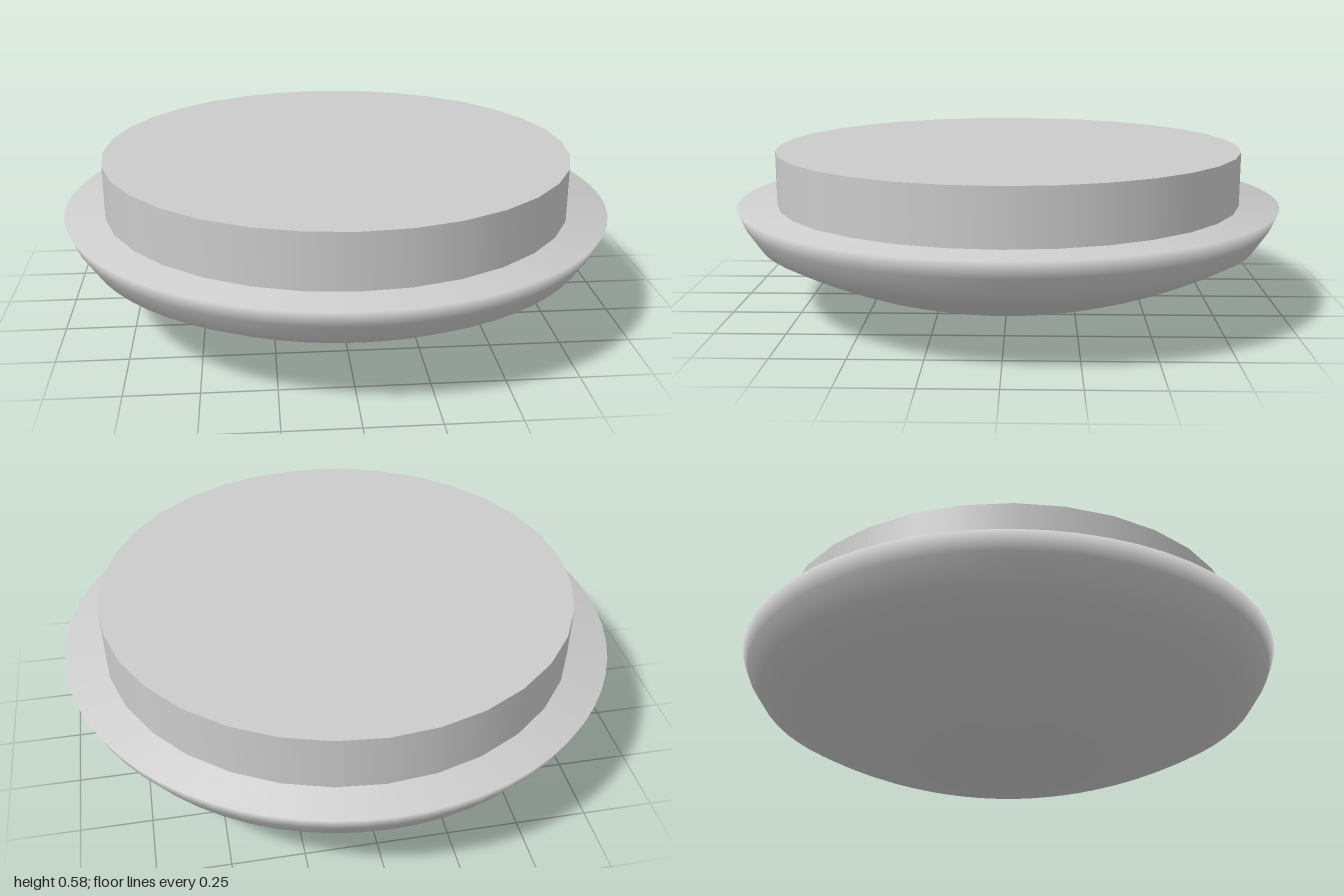
import * as THREE from 'three';

const material = new THREE.MeshStandardMaterial({ color: 0xcccccc });

// Shallow spherical dish with a rounded rim and a flat upper ring
function makeDish() {
  const edgeR = 0.925, edgeY = 0.255, rimY = 0.39, steps = 14;
  const R = (edgeR * edgeR + edgeY * edgeY) / (2 * edgeY);
  const profile = [];
  for (let i = 0; i <= steps; i++) {
    const r = (edgeR * i) / steps;
    profile.push(new THREE.Vector2(r, R - Math.sqrt(R * R - r * r)));
  }
  profile.push(
    new THREE.Vector2(0.975, 0.33),
    new THREE.Vector2(1, rimY),
    new THREE.Vector2(0.8, rimY),
  );
  const geometry = new THREE.LatheGeometry(profile, 64);

  // Carry the rim's soft normals across the ring
  const normal = geometry.attributes.normal;
  const n = profile.length;
  for (let i = n - 1; i < normal.count; i += n) {
    normal.setXYZ(i, normal.getX(i - 1), normal.getY(i - 1), normal.getZ(i - 1));
  }
  return new THREE.Mesh(geometry, material);
}

export function createModel() {
  const model = new THREE.Group();
  model.name = 'domedCap';

  const dish = makeDish();
  dish.name = 'dish';

  // Round plug standing on the dish
  const plug = new THREE.Mesh(new THREE.CylinderGeometry(0.857, 0.857, 0.195, 32), material);
  plug.position.y = 0.39 + 0.195 / 2;
  plug.name = 'plug';

  model.add(dish, plug);
  return model;
}
